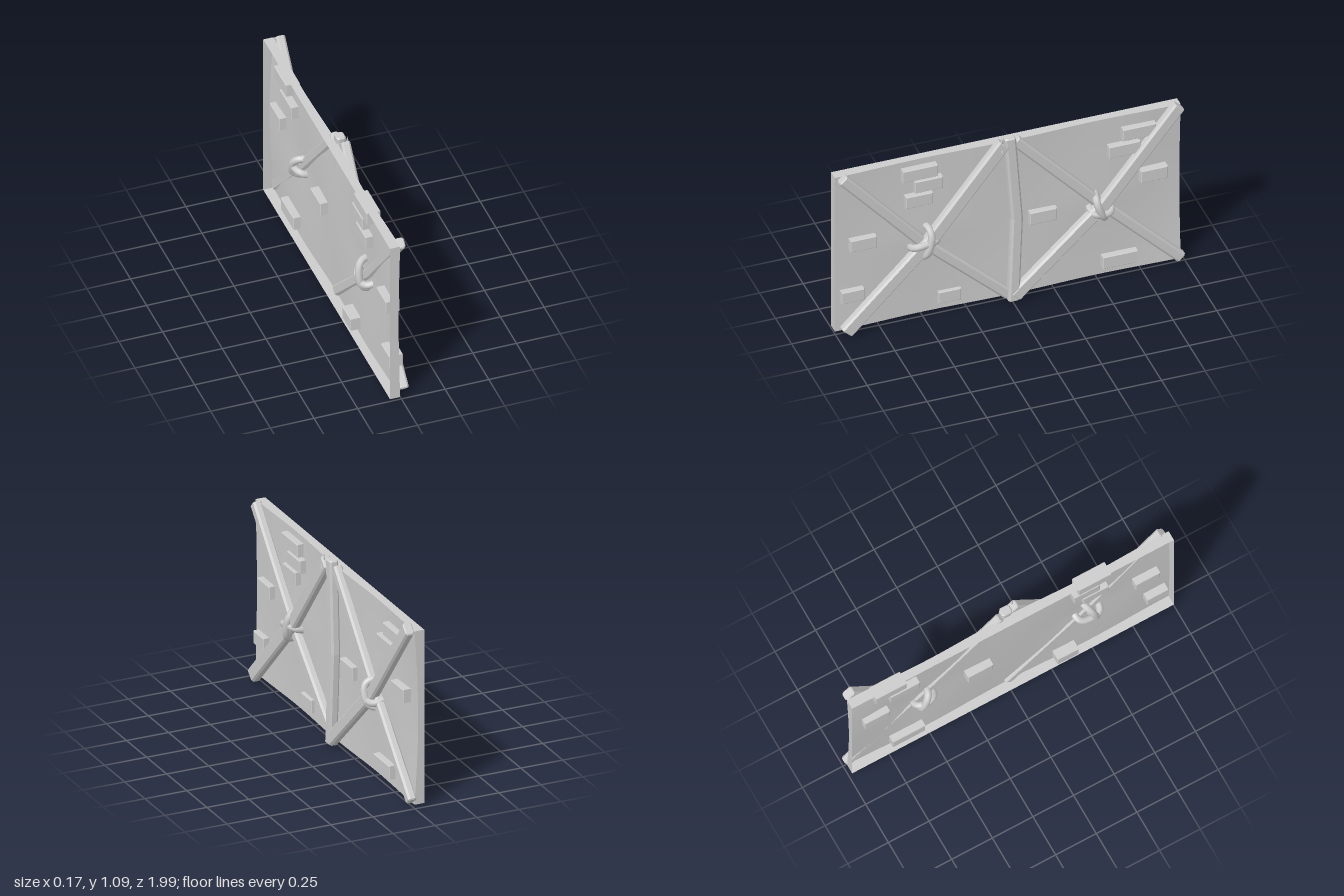
import * as THREE from 'three';

const wood = new THREE.MeshStandardMaterial({ color: 0xcccccc, flatShading: true });
const smooth = new THREE.MeshStandardMaterial({ color: 0xcccccc });
const shell = new THREE.MeshStandardMaterial({ color: 0xcccccc, side: THREE.DoubleSide });
const V = (x, y, z) => new THREE.Vector3(x, y, z);

function add(parent, name, geometry, material) {
  const mesh = new THREE.Mesh(geometry, material);
  mesh.name = name;
  parent.add(mesh);
  return mesh;
}

// Depth of the stretched sheet: pinned at corners and centre pole, sagging between
function sheetX(y, z) {
  const t = (y - 0.02) / 1.015;
  const alongTop = Math.sin(Math.PI * z) ** 2 * Math.abs(Math.cos(Math.PI * t));
  const alongSide = Math.cos(Math.PI * z) ** 2 * Math.sin(Math.PI * t);
  const sideSag = z < -0.5 ? 0.022 : 0.009;
  return -0.007 - 0.011 * alongTop - sideSag * alongSide;
}

// Open-backed panel: a box without its back face, front bent by sheetX
function panelGeometry() {
  const g = new THREE.BoxGeometry(0.06, 1.015, 1.98, 1, 16, 32);
  g.translate(-0.035, 0.5275, 0.01);
  const back = g.groups[1], index = Array.from(g.index.array);
  index.splice(back.start, back.count);
  g.setIndex(index);
  g.clearGroups();
  const p = g.attributes.position;
  for (let i = 0; i < p.count; i++) {
    if (p.getX(i) > -0.03) p.setX(i, sheetX(p.getY(i), p.getZ(i)));
  }
  g.computeVertexNormals();
  return g;
}

// Chamfered timber from a to b, kinked sideways by bend at its middle
function beamGeometry(a, b, thick, wide, bend) {
  const x = thick / 2, y = wide / 2, c = 0.011, e = 0.006;
  const shape = new THREE.Shape([
    [x, -y + c], [x, y - c], [x - c, y], [-x + c, y],
    [-x, y - c], [-x, -y + c], [-x + c, -y], [x - c, -y],
  ].map(([u, v]) => new THREE.Vector2(u, v)));
  const length = a.distanceTo(b);
  const g = new THREE.ExtrudeGeometry(shape, {
    depth: length - 2 * e, steps: 2,
    bevelThickness: e, bevelSize: e, bevelOffset: -e, bevelSegments: 1,
  });
  g.translate(0, 0, e);
  const p = g.attributes.position;
  for (let i = 0; i < p.count; i++) {
    p.setY(i, p.getY(i) + bend * Math.sin(Math.PI * p.getZ(i) / length));
  }
  const dir = b.clone().sub(a).normalize();
  const side = dir.clone().cross(V(1, 0, 0)).normalize();
  const out = side.clone().cross(dir);
  g.applyMatrix4(new THREE.Matrix4().makeBasis(out, side, dir).setPosition(a));
  g.computeVertexNormals();
  return g;
}

// Squarish rope loop around the crossing, stretched along an angle in the panel plane
function loopGeometry(angle, reach, depth, lean) {
  const square = (v) => Math.sign(v) * Math.abs(v) ** 0.75;
  const pts = [];
  for (let i = 0; i < 16; i++) {
    const t = i / 16 * Math.PI * 2;
    const r = square(Math.cos(t)) * reach, s = Math.sin(t) * lean;
    pts.push(V(square(Math.sin(t)) * depth,
      r * Math.sin(angle) + s * Math.cos(angle),
      r * Math.cos(angle) - s * Math.sin(angle)));
  }
  return new THREE.TubeGeometry(new THREE.CatmullRomCurve3(pts, true), 32, 0.021, 8, true);
}

export function createModel() {
  const model = new THREE.Group();
  model.name = 'wallPanel';
  add(model, 'stretchedPanel', panelGeometry(), shell);

  // Crossed timbers and the bent centre pole: start, end, thickness, width, bend
  const timbers = new THREE.Group();
  timbers.name = 'timbers';
  model.add(timbers);
  [
    ['frontOuterBrace', V(0.028, 0.03, 0.95), V(0.022, 1.05, 0.045), 0.052, 0.082, 0.04],
    ['frontInnerBrace', V(0.008, 1.03, 0.965), V(0.0, 0.03, 0.005), 0.05, 0.062, 0.033],
    ['rearOuterBrace', V(0.018, 1.05, -0.96), V(0.026, 0.03, -0.015), 0.052, 0.076, -0.052],
    ['rearInnerBrace', V(0.0, 1.04, -0.025), V(0.008, 0.04, -0.975), 0.05, 0.062, 0.012],
    ['centrePole', V(0.024, 0.006, -0.008), V(0.012, 1.075, 0.008), 0.052, 0.064, 0.03],
  ].forEach(([name, a, b, thick, wide, bend]) =>
    add(timbers, name, beamGeometry(a, b, thick, wide, bend), wood));

  // Splintered tip at the top of the front brace
  const tip = add(timbers, 'splinter', new THREE.ConeGeometry(0.02, 0.09, 4), wood);
  tip.position.set(0.035, 1.053, 0.06);

  // Rope lashings at both crossings
  [[0.495, 0.505, 1.8, 0.02], [-0.515, 0.495, 1.2, -0.02]].forEach(([z, y, angle, lean], i) => {
    const knot = new THREE.Group();
    knot.name = i ? 'rearLashing' : 'frontLashing';
    knot.position.set(-0.003, y, z);
    add(knot, 'uprightLoop', loopGeometry(angle, i ? 0.075 : 0.088, 0.062, lean), smooth);
    const cross = add(knot, 'crossLoop', loopGeometry(i ? 0.1 : -0.15, i ? 0.06 : 0.074, 0.054, lean), smooth);
    cross.position.y = -0.018;
    model.add(knot);
  });

  // Bricks set through the panel: z, y, width, height, x
  const bricks = new THREE.Group();
  bricks.name = 'bricks';
  model.add(bricks);
  [
    [0.52, 0.96, 0.2, 0.075], [0.47, 0.875, 0.16, 0.075], [0.525, 0.785, 0.155, 0.075],
    [0.845, 0.575, 0.15, 0.075], [0.905, 0.245, 0.13, 0.075], [0.345, 0.1, 0.13, 0.075, -0.035],
    [-0.185, 0.505, 0.155, 0.078], [-0.735, 0.925, 0.19, 0.075], [-0.65, 0.83, 0.18, 0.075],
    [-0.82, 0.625, 0.155, 0.078], [-0.625, 0.11, 0.2, 0.078],
  ].forEach(([z, y, w, h, x = -0.019]) => {
    const b = 0.004;
    const s = new THREE.Shape([[-1, -1], [1, -1], [1, 1], [-1, 1]]
      .map(([u, v]) => new THREE.Vector2(u * w / 2, v * h / 2)));
    const g = new THREE.ExtrudeGeometry(s, {
      depth: 0.08 - 2 * b, bevelThickness: b, bevelSize: b, bevelOffset: -b, bevelSegments: 1,
    });
    g.translate(0, 0, b - 0.04).rotateY(Math.PI / 2);
    add(bricks, 'brick', g, wood).position.set(x, y, z);
  });
  return model;
}
